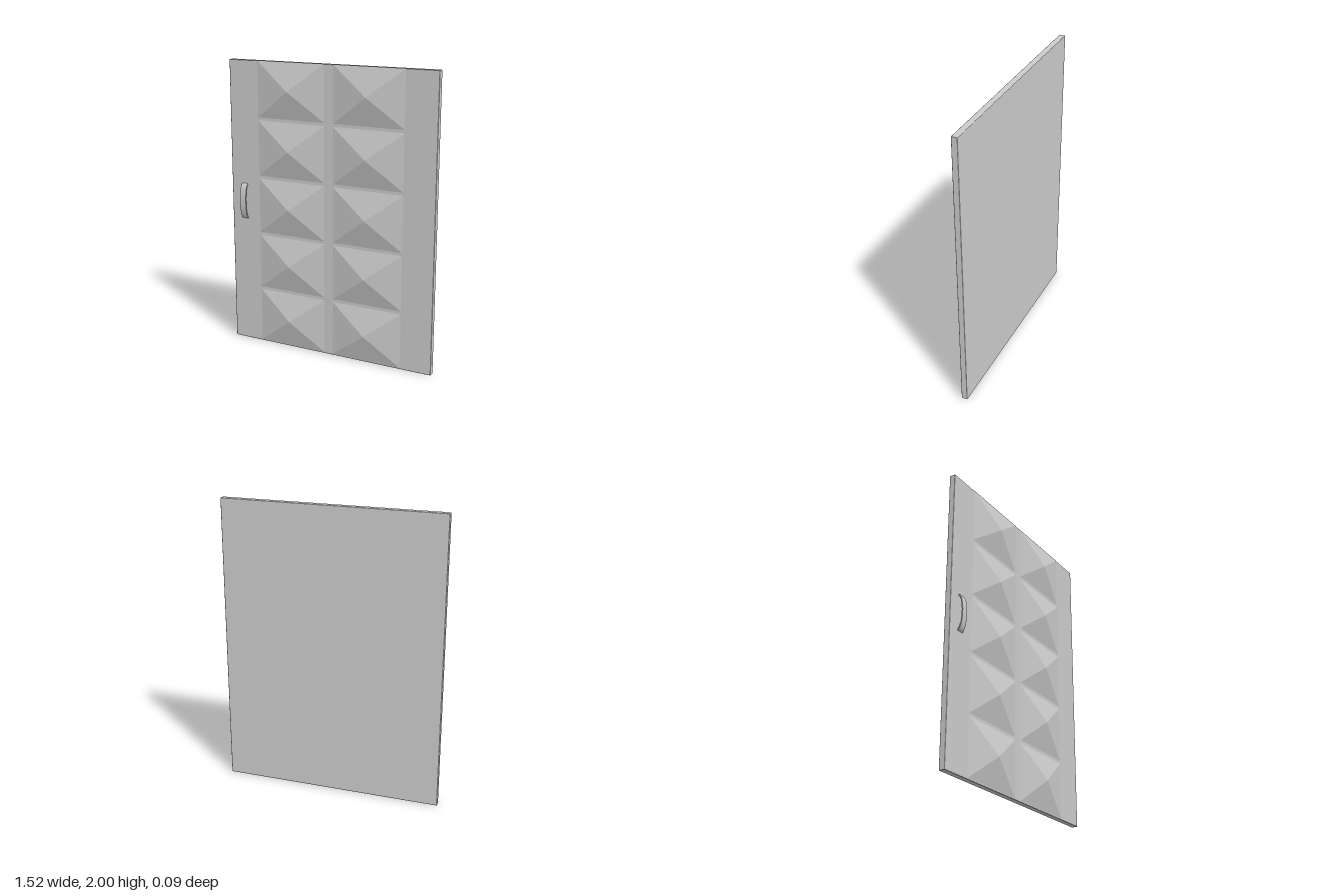
import * as THREE from 'three';
import { RoundedBoxGeometry } from 'three/addons/geometries/RoundedBoxGeometry.js';

const FRONT = -0.004; // z of the door's flat front face
const BACK = -0.046;

export function createModel() {
  const group = new THREE.Group();
  group.name = 'panelledDoor';
  const flat = new THREE.MeshStandardMaterial({ color: 0xcccccc, flatShading: true });
  const smooth = new THREE.MeshStandardMaterial({ color: 0xcccccc, side: THREE.DoubleSide });

  const add = (name, geometry, material, x, y, z) => {
    const mesh = new THREE.Mesh(geometry, material);
    mesh.name = name;
    mesh.position.set(x, y, z);
    group.add(mesh);
    return mesh;
  };

  // Door slab with slightly softened edges
  add('doorSlab', new RoundedBoxGeometry(1.516, 2, FRONT - BACK, 2, 0.004), flat,
    0, 1, (FRONT + BACK) / 2);

  // Raised pyramid panels: a four-sided cone turned to face +z, two columns of five
  const pyramid = new THREE.ConeGeometry(Math.SQRT1_2, 1, 4, 1, true);
  pyramid.rotateY(Math.PI / 4).rotateX(Math.PI / 2).translate(0, 0, 0.5);
  pyramid.scale(0.504, 0.382, 0.05);
  for (let row = 0; row < 5; row++) {
    for (const side of [-1, 1]) {
      add('pyramidPanel', pyramid, flat, side * 0.285, 0.2 + row * 0.4025, FRONT);
    }
  }

  // Bowed handle: a thin arched strip, extruded across its width
  const arch = new THREE.Shape();
  arch.moveTo(-0.125, 0);
  arch.bezierCurveTo(-0.105, 0.046, 0.105, 0.046, 0.125, 0);
  arch.lineTo(0.115, 0);
  arch.bezierCurveTo(0.095, 0.036, -0.095, 0.036, -0.115, 0);
  arch.closePath();
  const strip = new THREE.ExtrudeGeometry(arch, { depth: 0.046, bevelEnabled: false, curveSegments: 20 });
  strip.translate(0, 0, -0.023);
  // Profile length runs along y, its bow along z, its width along x
  strip.applyMatrix4(new THREE.Matrix4().makeBasis(
    new THREE.Vector3(0, 1, 0), new THREE.Vector3(0, 0, 1), new THREE.Vector3(1, 0, 0)));
  add('handle', strip, smooth, -0.655, 1.025, FRONT);

  return group;
}
